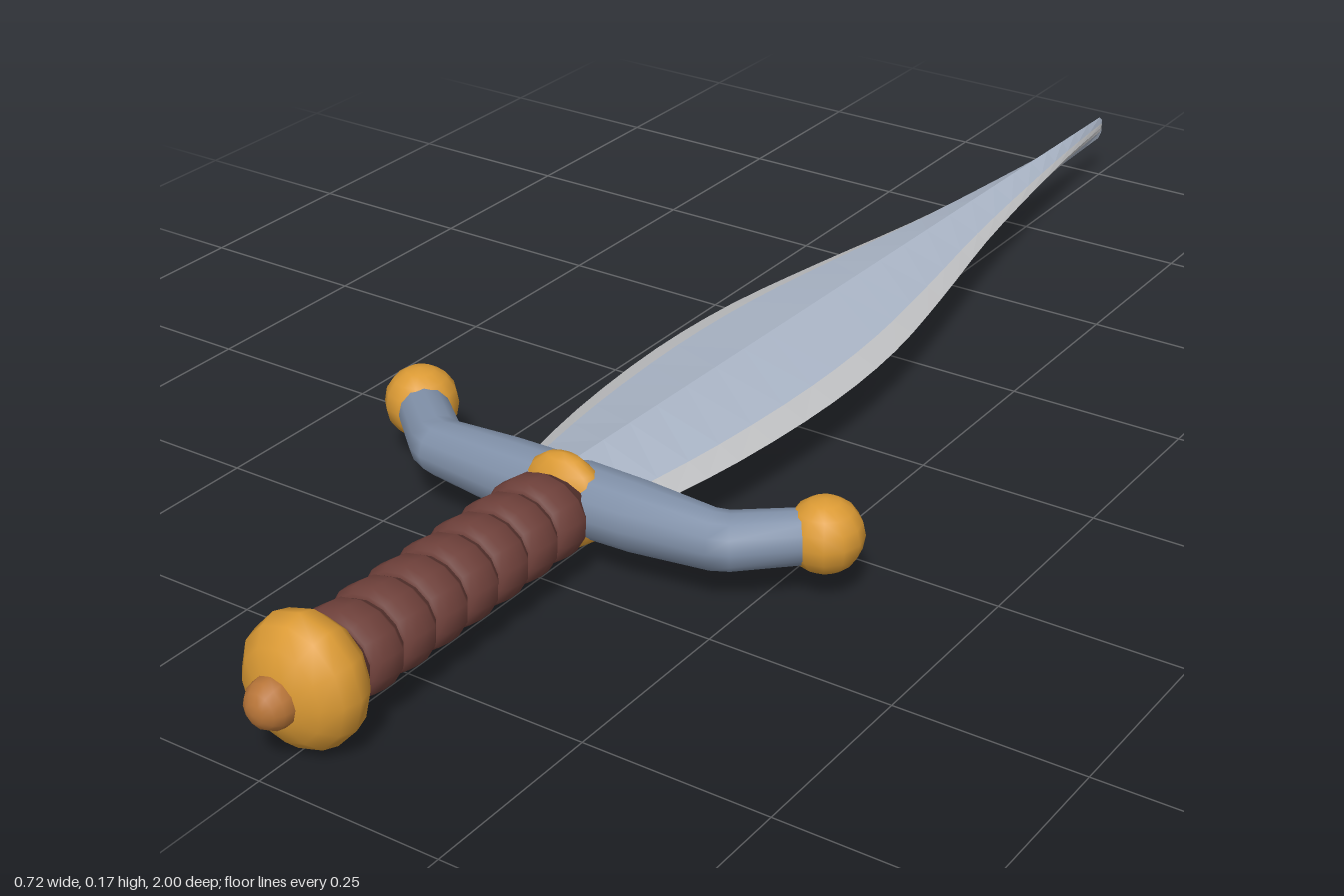
import * as THREE from 'three';

const AXIS_Y = 0.085; // height of the dagger's long axis

const paint = (name, color) => {
  const m = new THREE.MeshStandardMaterial({ color });
  m.name = name;
  return m;
};

// Skin a row of equal rings; pick(k) selects which side strips to include.
function loft(rings, pick = () => true, flat = false) {
  const n = rings[0].length;
  const index = [];
  for (let i = 0; i < rings.length - 1; i++) {
    for (let k = 0; k < n; k++) {
      if (!pick(k)) continue;
      const a = i * n + k, b = i * n + (k + 1) % n;
      index.push(a, b, a + n, b, b + n, a + n);
    }
  }
  const geo = new THREE.BufferGeometry();
  geo.setAttribute('position', new THREE.Float32BufferAttribute(rings.flat(2), 3));
  geo.setIndex(index);
  const out = flat ? geo.toNonIndexed() : geo;
  out.computeVertexNormals();
  return out;
}

export function createModel() {
  const group = new THREE.Group();
  const steel = paint('blade steel', 0xaab5c6);
  const edgeSteel = paint('edge steel', 0xbfc0c2);
  const guardSteel = paint('guard steel', 0x8090a8);
  const gold = paint('gold', 0xdb9a34);
  const copper = paint('copper', 0xb87538);
  const leather = paint('leather', 0x6e403a);
  const darkLeather = paint('dark leather', 0x4c2c28);

  const add = (name, geo, mat, x = 0, z = 0) => {
    const mesh = new THREE.Mesh(geo, mat);
    mesh.name = name;
    mesh.position.set(x, AXIS_Y, z);
    group.add(mesh);
    return mesh;
  };

  // Leaf-shaped blade: half width and half thickness along z
  const outline = new THREE.CatmullRomCurve3([
    [0.42, 0.097], [0.25, 0.127], [0.05, 0.142], [-0.12, 0.134], [-0.3, 0.104],
    [-0.5, 0.064], [-0.7, 0.034], [-0.86, 0.014], [-0.99, 0.003],
  ].map(([z, w]) => new THREE.Vector3(w, 0, z)));
  const sections = outline.getPoints(24).map(({ x: w, z }) => {
    const h = 0.046 - 0.028 * (0.42 - z) / 1.41;
    const u = w * 0.76, v = h * 0.36;
    return [[0, h, z], [u, v, z], [w, 0, z], [u, -v, z],
      [0, -h, z], [-u, -v, z], [-w, 0, z], [-u, v, z]];
  });
  sections.push(sections[0].map((_, k) => [0, [1, 0.4, 0, -0.4, -1, -0.4, 0, 0.4][k] * 0.01, -1]));
  const isCore = (k) => k % 4 === 0 || k % 4 === 3;
  add('blade', loft(sections, isCore, true), steel);
  add('bladeEdges', loft(sections, (k) => !isCore(k), true), edgeSteel);

  // Cross guard: tapering bar with ends swept towards the blade [x, z, radius, turn]
  const half = [[0.1, 0.43, 0.045, 0.02], [0.205, 0.425, 0.038, 0.35], [0.225, 0.417, 0.037, 0.55], [0.31, 0.345, 0.034, 0.7]];
  const stations = [
    ...half.map(([x, z, r, t]) => [-x, z, r, -t]).reverse(),
    [0, 0.431, 0.047, 0],
    ...half,
  ];
  const guardRings = stations.map(([x, z, r, t]) =>
    Array.from({ length: 12 }, (_, k) => {
      const a = (k / 12) * Math.PI * 2, s = r * Math.sin(a);
      return [x + s * Math.sin(t), r * Math.cos(a), z + s * Math.cos(t)];
    }));
  add('guard', loft(guardRings), guardSteel);
  for (const side of [-1, 1]) {
    add('guardBall', new THREE.SphereGeometry(0.049, 12, 8), gold, side * 0.311, 0.342);
  }

  // Gold boss through the middle of the guard
  add('guardBoss', new THREE.SphereGeometry(1, 12, 8), gold, 0, 0.445).scale.set(0.062, 0.065, 0.034);

  // Grip core with tilted leather wraps
  const core = new THREE.CylinderGeometry(0.045, 0.045, 0.42, 14).rotateX(Math.PI / 2);
  add('gripCore', core, darkLeather, 0, 0.67).scale.x = 1.18;
  const profile = [[0.04, -0.027], [0.048, -0.026], [0.054, -0.017], [0.055, 0],
    [0.054, 0.017], [0.048, 0.026], [0.04, 0.027]].map(([r, y]) => new THREE.Vector2(r, y));
  const wrap = new THREE.LatheGeometry(profile, 14).rotateX(Math.PI / 2);
  for (let i = 0; i < 7; i++) {
    const ring = add('gripWrap', wrap, leather, 0, 0.503 + i * 0.0565);
    ring.scale.x = 1.18;
    ring.rotation.x = -0.08;
  }

  // Pommel and its end cap
  const ball = new THREE.SphereGeometry(1, 12, 8).rotateX(Math.PI / 2);
  add('pommel', ball, gold, 0, 0.915).scale.set(0.08, 0.085, 0.057);
  add('pommelCap', new THREE.SphereGeometry(0.032, 12, 8).rotateX(Math.PI / 2), copper, 0, 0.968);

  return group;
}
